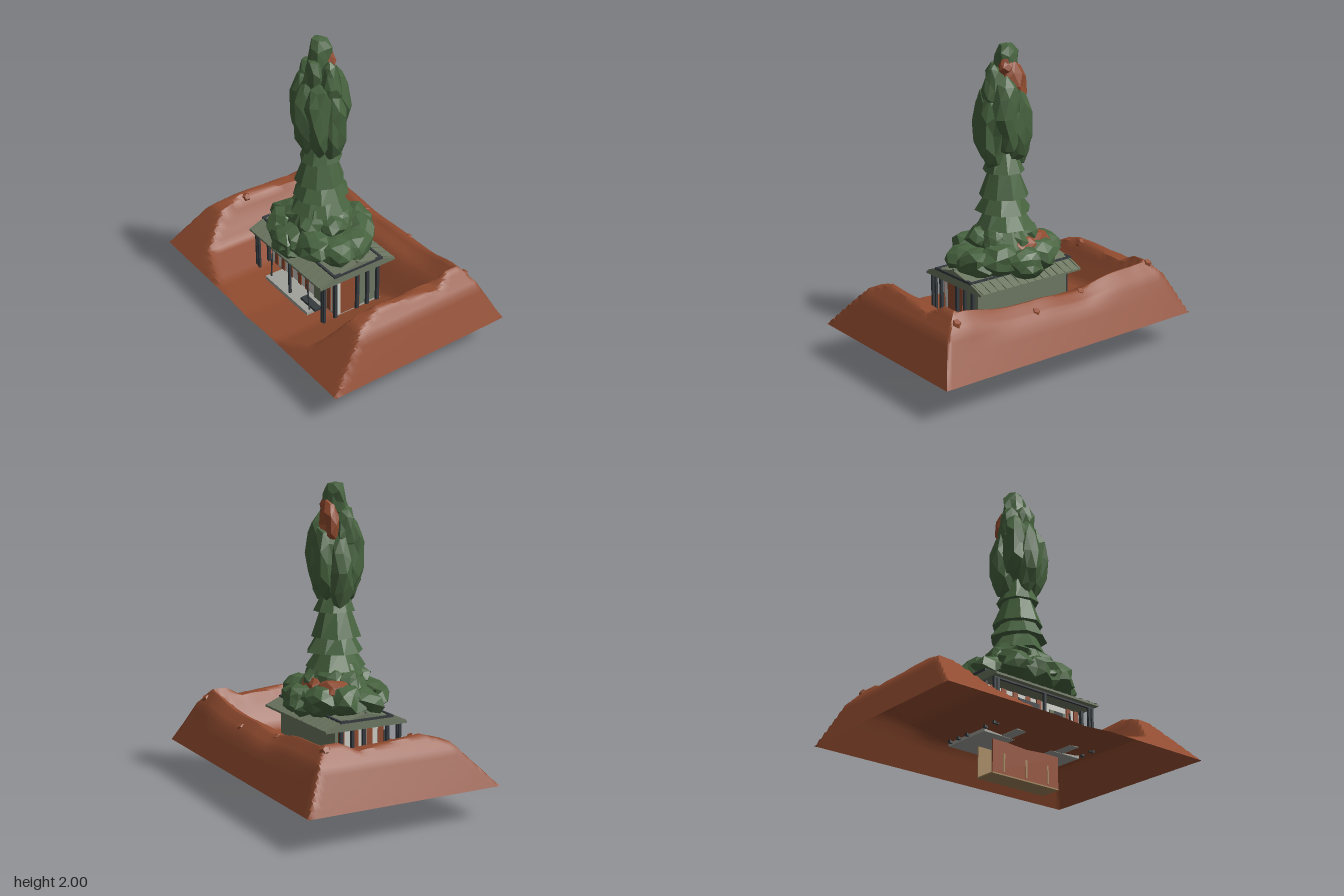
import * as THREE from 'three';
import { toCreasedNormals } from 'three/addons/utils/BufferGeometryUtils.js';

const paint = (name, color, opts = {}) => {
  const m = new THREE.MeshStandardMaterial({ color, ...opts });
  m.name = name;
  return m;
};
const clamp = THREE.MathUtils.clamp;

// piecewise linear profile through [position, height] points
function profile(pts, t) {
  if (t <= pts[0][0]) return pts[0][1];
  for (let i = 1; i < pts.length; i++) {
    const [a, ha] = pts[i - 1], [b, hb] = pts[i];
    if (t <= b) return ha + (hb - ha) * (t - a) / (b - a);
  }
  return pts[pts.length - 1][1];
}

// repeatable noise in -1..1 from a position, so shared corners move together
function noise(x, y, z, seed) {
  const s = Math.sin(Math.round(x * 500) * 12.99 + Math.round(y * 500) * 78.23 + Math.round(z * 500) * 37.72 + seed * 91.7) * 43758.5453;
  return (s - Math.floor(s)) * 2 - 1;
}

// yard floor and inner slopes, capped by the outer slopes and the crest line
function groundHeight(x, z) {
  const ax = Math.abs(x);
  const inner = Math.max(
    profile([[0, 0.2], [0.35, 0.225], [0.6, 0.31], [0.68, 0.43], [0.76, 0.575], [0.98, 0.6]], ax),
    profile([[0.13, 0.2], [0.2, 0.29], [0.33, 0.46], [0.44, 0.56], [0.66, 0.6]], -z));
  const outer = Math.min(
    profile([[0.76, 0.59], [0.87, 0.46], [0.98, 0.215]], ax),
    profile([[-0.66, 0.215], [-0.525, 0.48], [-0.44, 0.58], [-0.35, 0.575], [-0.24, 0.518], [-0.1, 0.535], [0.2, 0.557], [0.37, 0.5], [0.65, 0.215]], z));
  const h = Math.min(inner, outer);
  const high = clamp((h - 0.4) / 0.2, 0, 1);
  // the back ridge sags behind the house
  const sag = 0.075 * clamp(1.4 - ax / 0.5, 0, 1) * clamp((-z - 0.25) / 0.15, 0, 1);
  return h + high * (0.012 * Math.sin(x * 11) - sag);
}

export function createModel() {
  const group = new THREE.Group();
  group.name = 'treeHouseOnEarthBank';
  const earth = paint('red earth', 0x904b2f, { side: THREE.DoubleSide });
  const leaf = paint('leaf green', 0x47633f, { flatShading: true });
  const roofMat = paint('roof grey green', 0x6d7862, { side: THREE.DoubleSide });
  const dark = paint('dark metal', 0x363b3f);
  const white = paint('wall white', 0xcfcdc6);
  const grey = paint('floor grey', 0xa0a29b);
  const tan = paint('pit tan', 0xa08359, { side: THREE.DoubleSide });

  const add = (name, geo, mat, parent = group) => {
    const m = new THREE.Mesh(geo, mat);
    m.name = name;
    parent.add(m);
    return m;
  };
  const part = (name) => {
    const g = new THREE.Group();
    g.name = name;
    group.add(g);
    return g;
  };
  // box given by its low and high limits on each axis
  const box = (name, mat, x0, x1, y0, y1, z0, z1, parent) => {
    const m = add(name, new THREE.BoxGeometry(x1 - x0, y1 - y0, z1 - z0), mat, parent);
    m.position.set((x0 + x1) / 2, (y0 + y1) / 2, (z0 + z1) / 2);
    return m;
  };

  // earth bank: a sheet raised into a U of ridges around a low yard
  const refine = (lines, n) => lines.flatMap((v, i) => i === lines.length - 1 ? [v]
    : Array.from({ length: n }, (_, k) => v + (lines[i + 1] - v) * k / n));
  const half = [0, 0.12, 0.25, 0.35, 0.48, 0.6, 0.68, 0.76, 0.815, 0.87, 0.925, 0.98];
  const xs = refine([...half.slice(1).reverse().map((v) => -v), ...half], 3);
  const zs = refine([-0.66, -0.59, -0.525, -0.48, -0.44, -0.385, -0.33, -0.24, -0.2, -0.13, -0.03, 0.08, 0.2, 0.29, 0.37, 0.44, 0.51, 0.58, 0.65], 3);
  const sheet = new THREE.PlaneGeometry(1, 1, xs.length - 1, zs.length - 1);
  const sp = sheet.attributes.position;
  for (let i = 0; i < sp.count; i++) {
    const x = xs[i % xs.length], z = zs[Math.floor(i / xs.length)];
    sp.setXYZ(i, x, groundHeight(x, z), z);
  }
  add('earthBank', toCreasedNormals(sheet, 0.7), earth);

  // loose stones sunk in the ridges
  const stones = part('stones');
  [[-0.2, -0.45], [0.2, -0.5], [0.78, -0.48], [-0.78, -0.45], [-0.75, 0.16]].forEach(([x, z]) => {
    add('stone', new THREE.DodecahedronGeometry(0.035), earth, stones).position.set(x, groundHeight(x, z) - 0.025, z);
  });

  // open-sided pit under the house
  const pit = part('pit');
  box('pitFront', earth, -0.255, 0.255, 0.008, 0.21, 0.13, 0.136, pit);
  box('pitLining', tan, -0.255, 0.255, 0.008, 0.21, 0.126, 0.13, pit);
  box('pitBack', tan, -0.255, 0.255, 0.008, 0.2, -0.006, 0, pit);
  box('pitBottom', tan, -0.255, 0.255, 0, 0.008, -0.006, 0.136, pit);
  for (const x of [-0.17, 0, 0.17]) box('pitSlat', tan, x - 0.006, x + 0.006, 0.02, 0.135, 0.136, 0.14, pit);

  // house walls and floor
  const house = part('house');
  box('houseFloor', grey, -0.37, 0.37, 0.21, 0.235, -0.14, 0.2, house);
  box('porchFloor', grey, -0.24, 0.24, 0.212, 0.238, 0.2, 0.34, house);
  box('houseCore', roofMat, -0.36, 0.36, 0.23, 0.53, -0.14, 0.19, house);
  box('frontWall', white, -0.36, 0.36, 0.235, 0.51, 0.19, 0.2, house);
  box('leftSidePanel', earth, 0.36, 0.367, 0.235, 0.51, 0.02, 0.17, house);
  box('leftSideWall', white, 0.36, 0.366, 0.235, 0.51, 0.17, 0.2, house);
  box('rightSideWall', white, -0.366, -0.36, 0.235, 0.51, -0.12, 0.2, house);
  for (const z of [-0.1, 0, 0.1, 0.18]) {
    box('sidePilaster', earth, -0.371, -0.36, 0.235, 0.51, z - 0.02, z + 0.02, house);
  }
  for (const x of [-0.31, -0.23, -0.14, -0.04, 0.045, 0.285, 0.348]) {
    box('frontPilaster', earth, x - 0.018, x + 0.018, 0.235, 0.51, 0.2, 0.207, house);
  }
  box('leftWindow', dark, -0.32, -0.165, 0.355, 0.475, 0.207, 0.212, house);
  box('middleWindow', dark, -0.11, 0.045, 0.355, 0.48, 0.207, 0.212, house);
  box('door', roofMat, 0.13, 0.255, 0.235, 0.47, 0.2, 0.209, house);
  box('doorWindow', dark, 0.168, 0.232, 0.4, 0.467, 0.209, 0.213, house);
  box('bench', dark, 0.11, 0.27, 0.245, 0.262, 0.25, 0.3, house);

  // porch and corner posts
  const posts = part('posts');
  for (const x of [-0.385, -0.36, 0, 0.36, 0.385]) {
    box('frontPost', dark, x - 0.008, x + 0.008, 0.22, 0.53, 0.3, 0.316, posts);
  }
  for (const s of [-1, 1]) {
    for (const z of [-0.11, -0.03, 0.05, 0.22]) {
      box('sidePost', dark, s * 0.38 - 0.01, s * 0.38 + 0.01, 0.22, 0.53, z - 0.01, z + 0.01, posts);
    }
    const brace = box('brace', dark, s * 0.21 - 0.004, s * 0.21 + 0.004, 0.235, 0.43, 0.304, 0.312, posts);
    brace.rotation.z = 0.1 * s;
  }
  box('eaveBeam', dark, -0.39, 0.39, 0.505, 0.52, 0.3, 0.316, posts);

  // gabled roof with seams, end posts and dark rails
  const roof = part('roof');
  const outline = [[-0.29, 0.515], [0.29, 0.515], [0.29, 0.528], [0.18, 0.572], [0, 0.612], [-0.18, 0.572], [-0.29, 0.528]];
  const gable = new THREE.Shape(outline.map(([z, y]) => new THREE.Vector2(z, y)));
  const gableGeo = new THREE.ExtrudeGeometry(gable, { depth: 0.81, bevelEnabled: false });
  gableGeo.rotateY(-Math.PI / 2);
  add('roofBody', gableGeo, roofMat, roof).position.set(0.405, 0, 0.06);
  for (const s of [-1, 1]) {
    box('roofRail', dark, -0.41, 0.41, 0.566, 0.58, 0.06 + s * 0.18 - 0.008, 0.06 + s * 0.18 + 0.008, roof);
    box('roofEndRail', dark, s * 0.4 - 0.009, s * 0.4 + 0.009, 0.566, 0.582, -0.12, 0.24, roof);
    box('roofEndPost', roofMat, s * 0.395 - 0.009, s * 0.395 + 0.009, 0.56, 0.622, 0.05, 0.07, roof);
    for (let i = 0; i < 14; i++) {
      const seam = box('roofSeam', roofMat, -0.003, 0.003, -0.004, 0.004, -0.058, 0.058, roof);
      seam.position.set(-0.39 + i * 0.06, 0.551, 0.06 + s * 0.235);
      seam.rotation.x = s * 0.38;
    }
  }

  // jagged foliage clumps
  const tree = part('tree');
  const jitter = (geo, amount, seed) => {
    const p = geo.attributes.position;
    for (let i = 0; i < p.count; i++) {
      const x = p.getX(i), y = p.getY(i), z = p.getZ(i);
      const k = 1 + amount * noise(x, y, z, seed);
      p.setXYZ(i, x * k, y * (1 + amount * 0.5 * noise(x, y, z, seed + 9)), z * k);
    }
    geo.computeVertexNormals();
    return geo;
  };
  const clump = (name, x, y, z, rx, ry, rz, seed, mat = leaf) => {
    const geo = jitter(new THREE.IcosahedronGeometry(1, 1), 0.22, seed);
    geo.rotateY(seed * 0.7);
    geo.scale(rx, ry, rz);
    add(name, geo, mat, tree).position.set(x, y, z);
  };
  const cz = 0.065;

  // spreading base, with a clump hanging over the front eave
  for (let i = 0; i < 10; i++) {
    const a = (i / 10) * Math.PI * 2 + Math.PI / 2;
    clump('lowerClump', 0.265 * Math.cos(a), 0.65 + 0.02 * Math.sin(i * 2.3), 0.06 + 0.2 * Math.sin(a), 0.13, 0.105, 0.125, i + 1);
  }
  clump('frontClump', -0.04, 0.63, 0.31, 0.13, 0.11, 0.09, 14);
  clump('backClump', 0.03, 0.65, -0.2, 0.12, 0.09, 0.09, 15);
  for (let i = 0; i < 7; i++) {
    const a = (i / 7) * Math.PI * 2 + 0.3;
    clump('upperClump', 0.14 * Math.cos(a), 0.76, cz + 0.11 * Math.sin(a), 0.11, 0.09, 0.1, i + 21);
  }
  clump('rustPatch', -0.17, 0.715, -0.035, 0.11, 0.08, 0.11, 31, earth);
  clump('rustPatch', -0.03, 0.72, -0.085, 0.12, 0.075, 0.085, 33, earth);

  // flared tiers of the trunk: [top radius, bottom radius, bottom y, top y]
  [[0.15, 0.24, 0.72, 0.87], [0.1, 0.19, 0.83, 0.97], [0.1, 0.18, 0.935, 1.06], [0.1, 0.165, 1.03, 1.2], [0.07, 0.13, 1.19, 1.34]].forEach(([rt, rb, y0, y1], i) => {
    const tier = add('trunkTier', jitter(new THREE.CylinderGeometry(rt, rb, y1 - y0, 9, 1), 0.1, i + 40), leaf, tree);
    tier.position.set(0, (y0 + y1) / 2, cz);
    tier.rotation.y = i * 0.5;
  });

  // tall crown of long upright clumps
  for (let i = 0; i < 7; i++) {
    const a = (i / 7) * Math.PI * 2 + Math.PI / 2;
    clump('crownClump', 0.1 * Math.cos(a), 1.5 + 0.06 * Math.sin(i * 2.1), cz + 0.1 * Math.sin(a), 0.088, 0.25, 0.085, i + 51);
  }
  clump('crownCore', 0, 1.53, cz, 0.12, 0.3, 0.11, 61);
  for (const [x, y, z, seed] of [[0.08, 1.72, 0.05, 71], [-0.08, 1.71, 0.08, 72], [0.01, 1.74, 0.11, 73]]) {
    clump('shoulderClump', x, y, z, 0.075, 0.15, 0.07, seed);
  }
  clump('crownTip', -0.02, 1.88, 0.05, 0.085, 0.13, 0.07, 81);

  // rust core showing through the back of the crown
  clump('crownRustPatch', -0.03, 1.74, 0.005, 0.09, 0.16, 0.06, 83, earth);
  clump('crownRustPatch', 0.01, 1.86, 0.015, 0.06, 0.07, 0.045, 84, earth);
  return group;
}
